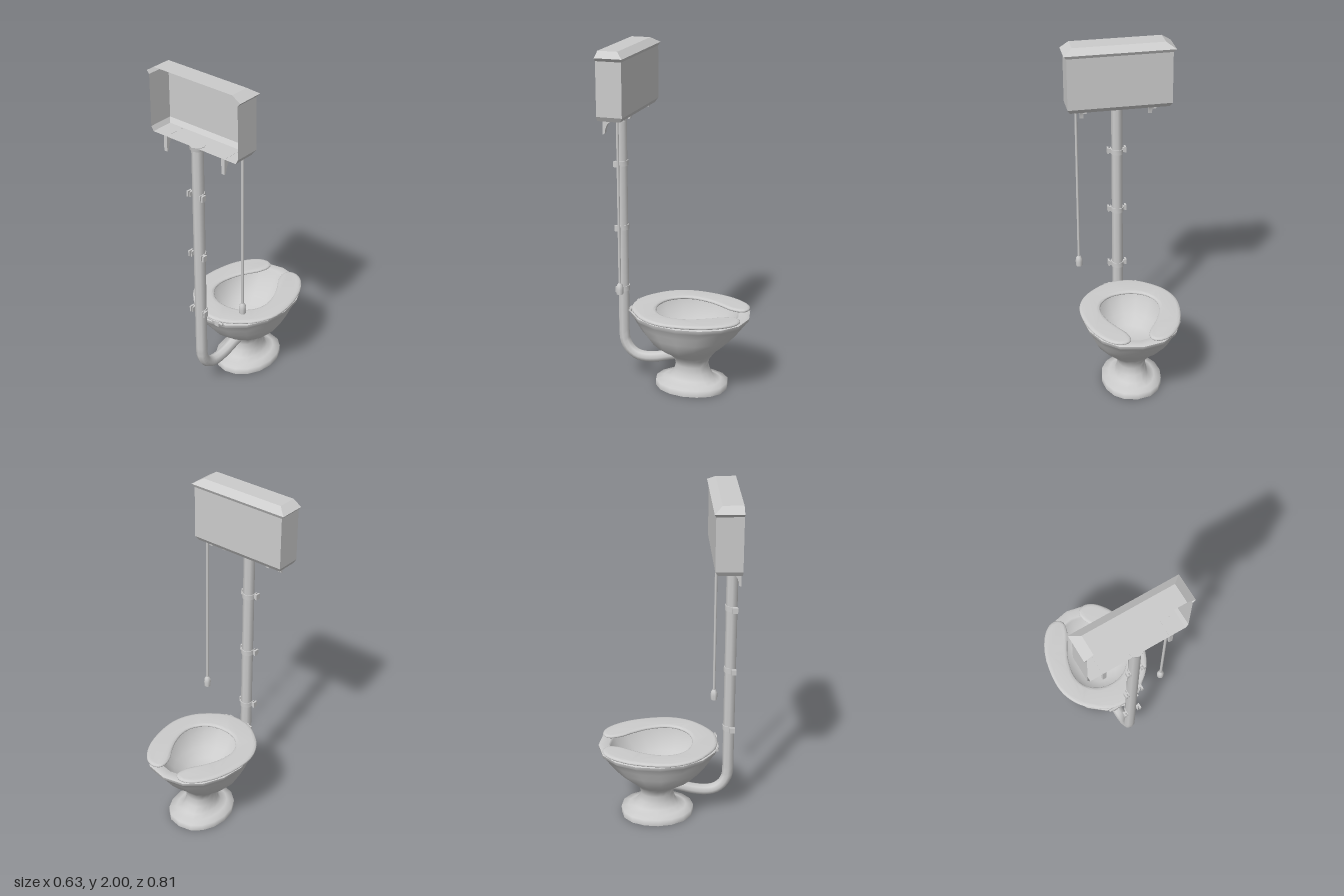
import * as THREE from 'three';
import { toCreasedNormals } from 'three/addons/utils/BufferGeometryUtils.js';

const material = new THREE.MeshStandardMaterial({ color: 0xcccccc, side: THREE.DoubleSide });
const flat = new THREE.MeshStandardMaterial({ color: 0xcccccc, side: THREE.DoubleSide, flatShading: true });

// Skin a list of equal-length rows of points
function loft(rows, closed) {
  const n = rows[0].length, index = [];
  for (let j = 0; j < rows.length - 1; j++) {
    for (let i = 0; i < (closed ? n : n - 1); i++) {
      const a = j * n + i, b = j * n + (i + 1) % n;
      index.push(a, b, b + n, a, b + n, a + n);
    }
  }
  const geo = new THREE.BufferGeometry();
  geo.setAttribute('position', new THREE.Float32BufferAttribute(rows.flat(2), 3));
  geo.setIndex(index);
  geo.computeVertexNormals();
  return geo;
}

// Ring at height y, half width hx, from z0 to z1, slightly fuller toward -z
function oval([y, hx, z0, z1], sides = 16) {
  return Array.from({ length: sides }, (_, i) => {
    const a = (i / sides) * Math.PI * 2, s = Math.sin(a), c = Math.cos(a);
    const x = Math.sign(s) * Math.abs(s) ** (c < -0.01 ? 0.85 : 1);
    return [hx * x, y, (z0 + z1) / 2 + ((z1 - z0) / 2) * c];
  });
}

export function createModel() {
  const model = new THREE.Group();
  const add = (name, geo, x = 0, y = 0, z = 0, mat = material) => {
    const mesh = new THREE.Mesh(geo, mat);
    mesh.name = name;
    mesh.position.set(x, y, z);
    model.add(mesh);
  };
  const ovals = (name, levels) => add(name, loft(levels.map((l) => oval(l)), true));

  // Funnel-shaped underside of the foot
  ovals('footUnderside', [
    [0.12, 0.06, -0.145, 0.02], [0.06, 0.075, -0.165, 0.038], [0.03, 0.105, -0.2, 0.075], [0, 0.177, -0.276, 0.154],
  ]);

  // Foot, neck and bowl outside
  ovals('bowlOutside', [
    [0, 0.177, -0.276, 0.154], [0.038, 0.177, -0.276, 0.154], [0.047, 0.135, -0.235, 0.11],
    [0.06, 0.1, -0.2, 0.07], [0.1, 0.088, -0.172, 0.044], [0.14, 0.08, -0.16, 0.034],
    [0.18, 0.093, -0.17, 0.042], [0.21, 0.125, -0.19, 0.075], [0.25, 0.177, -0.225, 0.14],
    [0.29, 0.213, -0.275, 0.19], [0.34, 0.237, -0.322, 0.232], [0.39, 0.256, -0.36, 0.265],
    [0.43, 0.275, -0.39, 0.287], [0.44, 0.285, -0.402, 0.298], [0.458, 0.288, -0.405, 0.3],
  ]);
  // Rim and inside of the bowl
  ovals('bowlInside', [
    [0.458, 0.288, -0.405, 0.3], [0.464, 0.275, -0.39, 0.288], [0.464, 0.235, -0.345, 0.245],
    [0.45, 0.228, -0.335, 0.238], [0.39, 0.215, -0.3, 0.22], [0.32, 0.17, -0.23, 0.16],
    [0.275, 0.11, -0.14, 0.1], [0.262, 0.05, -0.07, 0.05], [0.26, 0, -0.01, -0.01],
  ]);

  // Open-fronted seat
  const half = [
    [0, 0.292], [0.09, 0.276], [0.175, 0.222], [0.24, 0.155], [0.28, 0.075], [0.294, -0.01],
    [0.28, -0.14], [0.245, -0.25], [0.19, -0.335], [0.145, -0.37], [0.1, -0.379], [0.065, -0.362],
    [0.055, -0.33], [0.07, -0.27], [0.115, -0.195], [0.155, -0.11], [0.173, -0.01], [0.152, 0.065],
    [0.09, 0.124], [0, 0.145],
  ];
  const mirrored = half.slice(1, -1).reverse().map(([x, z]) => [-x, z]);
  const outline = new THREE.CatmullRomCurve3([...half, ...mirrored].map(([x, z]) => new THREE.Vector3(x, z, 0)), true);
  const seatShape = new THREE.Shape(outline.getPoints(152).slice(0, -1).map((p) => new THREE.Vector2(p.x, p.y)));
  const seat = new THREE.ExtrudeGeometry(seatShape, {
    depth: 0.002, bevelThickness: 0.01, bevelSize: 0.022, bevelOffset: -0.022, bevelSegments: 5,
  });
  seat.rotateX(Math.PI / 2);
  add('seat', toCreasedNormals(seat, 0.6), 0, 0.475, 0);

  // Seat hinge
  for (const s of [-1, 1]) add('hingeBlock', new THREE.BoxGeometry(0.03, 0.03, 0.03), s * 0.06, 0.458, 0.28);
  const rod = new THREE.CylinderGeometry(0.008, 0.008, 0.2, 8).rotateZ(Math.PI / 2);
  add('hingeRod', rod, 0, 0.465, 0.285);

  // Flush pipe, straight down and then bent into the bowl
  const pipeZ = 0.358;
  const bend = [
    [0.28, pipeZ], [0.235, 0.352], [0.185, 0.325], [0.152, 0.28], [0.143, 0.225],
    [0.152, 0.15], [0.175, 0.07], [0.19, 0],
  ].map(([y, z]) => new THREE.Vector3(0, y, z));
  const route = new THREE.CurvePath();
  route.add(new THREE.LineCurve3(new THREE.Vector3(0, 1.61, pipeZ), bend[0]));
  route.add(new THREE.CatmullRomCurve3(bend));
  add('flushPipe', new THREE.TubeGeometry(route, 72, 0.033, 8));
  add('pipeFlange', toCreasedNormals(new THREE.CylinderGeometry(0.046, 0.042, 0.025, 8), 0.9), 0, 1.612, pipeZ);

  // Pipe clamps: a strap round the pipe with wall ears
  for (const y of [1.322, 0.941, 0.566]) {
    const strap = new THREE.LatheGeometry(
      [[0.032, -0.015], [0.037, -0.015], [0.037, 0.015], [0.032, 0.015]].map((p) => new THREE.Vector2(...p)),
      8, Math.PI / 2, Math.PI);
    add('clampStrap', toCreasedNormals(strap, 0.8), 0, y, pipeZ);
    for (const s of [-1, 1]) {
      add('clampSide', new THREE.BoxGeometry(0.005, 0.03, 0.03), s * 0.0345, y, 0.373);
      add('clampArm', new THREE.BoxGeometry(0.02, 0.026, 0.012), s * 0.042, y, 0.368);
      add('clampEar', new THREE.BoxGeometry(0.01, 0.034, 0.03), s * 0.051, y, 0.375);
    }
  }

  // Cistern and lid, open toward the wall
  const back = 0.388;
  const shell = (name, levels) => add(name, loft(levels.map(([y, hx, z]) =>
    [[hx, y, back], [hx, y, z], [-hx, y, z], [-hx, y, back]]), false), 0, 0, 0, flat);
  shell('cistern', [[1.621, 0.285, back], [1.621, 0.285, 0.258], [1.647, 0.3, 0.24], [1.95, 0.3, 0.24]]);
  shell('cisternLid', [
    [1.95, 0.3, 0.24], [1.968, 0.316, 0.231], [2, 0.264, 0.275], [2, 0.264, back],
  ]);

  // Curved cistern brackets
  const brace = new THREE.Shape();
  brace.moveTo(back, 1.53);
  brace.lineTo(back, 1.622);
  brace.lineTo(0.26, 1.622);
  brace.lineTo(0.26, 1.613);
  brace.lineTo(0.32, 1.61);
  brace.quadraticCurveTo(0.37, 1.605, 0.376, 1.535);
  const bracket = new THREE.ExtrudeGeometry(brace, { depth: 0.022, bevelEnabled: false, curveSegments: 6 });
  bracket.translate(0, 0, -0.011).rotateY(-Math.PI / 2);
  for (const s of [-1, 1]) add('cisternBracket', toCreasedNormals(bracket, 0.6), s * 0.2, 0, 0);

  // Pull chain and handle
  add('pullChain', new THREE.CylinderGeometry(0.008, 0.008, 0.95, 8), 0.248, 1.15, 0.287);
  const knob = new THREE.LatheGeometry(
    [[0, 0.62], [0.019, 0.62], [0.021, 0.65], [0.018, 0.672], [0.009, 0.685], [0, 0.685]]
      .map((p) => new THREE.Vector2(...p)), 10);
  add('pullHandle', toCreasedNormals(knob, 0.9), 0.248, 0, 0.287);

  return model;
}
